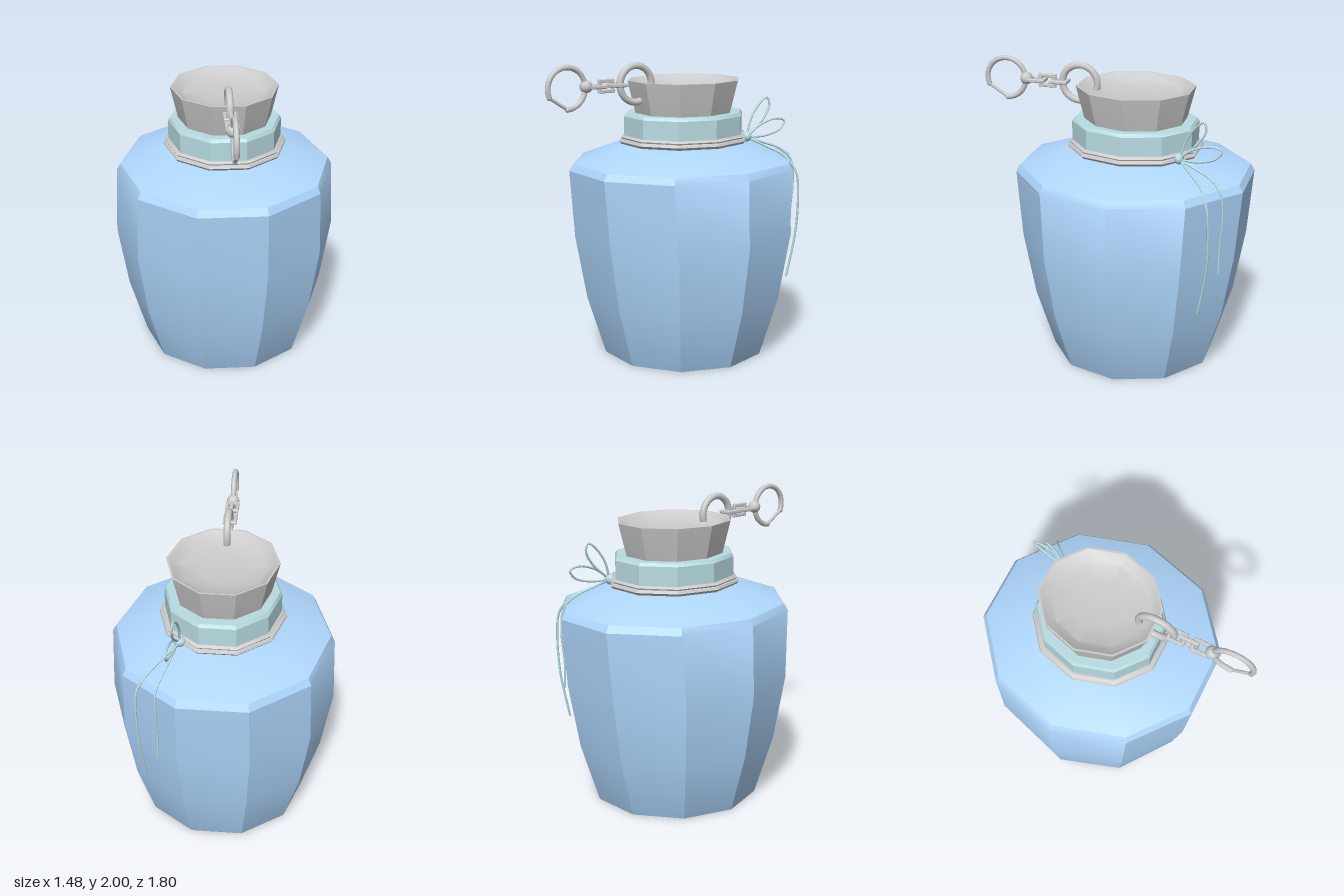
import * as THREE from 'three';
import { toCreasedNormals } from 'three/addons/utils/BufferGeometryUtils.js';

const CENTRE_Z = -0.14;
const mat = (color) => new THREE.MeshStandardMaterial({ color });

export function createModel() {
  const model = new THREE.Group();
  const blue = mat(0xb0d8ff), teal = mat(0xb8dce2), grey = mat(0xcccccc);

  const add = (name, geometry, material, parent = model) => {
    const mesh = new THREE.Mesh(geometry, material);
    mesh.name = name;
    parent.add(mesh);
    return mesh;
  };

  // Ten-sided turned part; each profile point is [radius, height, stretch in z]
  const turned = (name, profile, material) => {
    const pts = profile.map(([r, y]) => new THREE.Vector2(r, y));
    const g = new THREE.LatheGeometry(pts, 10, Math.PI / 2);
    const p = g.attributes.position;
    for (let i = 0; i < p.count; i++) {
      p.setZ(i, p.getZ(i) * (profile[i % profile.length][2] ?? 1.1));
    }
    add(name, toCreasedNormals(g, 0.52), material).position.z = CENTRE_Z;
  };

  turned('jarBody', [
    [0, 0, 1], [0.55, 0, 1], [0.555, 0.01, 1], [0.672, 0.4, 1.01], [0.742, 0.83, 1.02],
    [0.725, 1.28], [0.7, 1.325], [0.38, 1.45], [0.3, 1.45],
  ], blue);
  turned('neckRing', [
    [0.36, 1.44], [0.395, 1.44], [0.412, 1.46], [0.405, 1.475], [0.395, 1.478],
    [0.4, 1.487], [0.385, 1.5], [0.36, 1.5],
  ], grey);
  turned('neckBand', [
    [0.35, 1.48, 1.12], [0.375, 1.48, 1.12], [0.375, 1.625, 1.12],
    [0.362, 1.645, 1.12], [0.29, 1.645, 1.12],
  ], teal);
  turned('stopper', [
    [0.3, 1.62], [0.308, 1.645], [0.358, 1.86], [0.345, 1.86],
    [0.28, 1.815], [0.15, 1.8], [0, 1.795],
  ], grey);

  // Ring, chain and clasp, all on the plane x = 0
  const chain = new THREE.Group();
  chain.name = 'claspChain';
  model.add(chain);

  const ring = add('stopperRing', new THREE.TorusGeometry(0.119, 0.023, 10, 32), grey, chain);
  ring.rotation.y = Math.PI / 2;
  ring.position.set(0, 1.85, 0.24);

  const rect = (Type, w, h) => {
    const s = new Type();
    s.moveTo(-w, -h).lineTo(w, -h).lineTo(w, h).lineTo(-w, h).closePath();
    return s;
  };
  const frame = rect(THREE.Shape, 0.06, 0.045);
  frame.holes.push(rect(THREE.Path, 0.035, 0.022));
  const linkGeo = new THREE.ExtrudeGeometry(frame, {
    depth: 0.014, bevelEnabled: true, bevelSize: 0.004, bevelThickness: 0.005,
    bevelOffset: -0.004, bevelSegments: 1,
  }).translate(0, 0, -0.007);
  linkGeo.rotateY(-Math.PI / 2);
  [0.38, 0.463, 0.535].forEach((z, i) => {
    const link = add('chainLink' + (i + 1), linkGeo, grey, chain);
    link.position.set(0, 1.85, z);
    if (i !== 1) link.rotation.z = Math.PI / 2;
  });

  const ball = add('claspBall', new THREE.SphereGeometry(0.042, 14, 10), grey, chain);
  ball.position.set(0, 1.855, 0.61);

  // Open clasp arc with a straight gate across its gap
  const onClasp = (deg) => {
    const a = THREE.MathUtils.degToRad(deg);
    return new THREE.Vector3(0, 1.85 + 0.133 * Math.sin(a), 0.75 + 0.133 * Math.cos(a));
  };
  const arc = [];
  for (let i = 0; i <= 16; i++) arc.push(onClasp(-22 + i * 290 / 16));
  const tube = (name, pts, radius, segments, material, parent) =>
    add(name, new THREE.TubeGeometry(new THREE.CatmullRomCurve3(pts), segments, radius, 8), material, parent);
  tube('claspArc', arc, 0.018, 48, grey, chain);
  tube('claspGate', [onClasp(-22), onClasp(-92)], 0.011, 1, grey, chain);
  [-22, -92].forEach((deg) => {
    add('claspEnd', new THREE.SphereGeometry(0.018, 10, 8), grey, chain).position.copy(onClasp(deg));
  });

  // Tied string: knot, two loops and two hanging tails
  const bow = new THREE.Group();
  bow.name = 'stringBow';
  model.add(bow);
  const knot = add('knot', new THREE.SphereGeometry(0.036, 10, 8), teal, bow);
  knot.position.set(0.24, 1.475, -0.485);
  knot.scale.set(1.1, 1, 0.9);

  const strands = {
    upperLoop: [
      [0.24, 1.48, -0.49], [0.235, 1.6, -0.53], [0.245, 1.7, -0.6], [0.255, 1.73, -0.645],
      [0.262, 1.68, -0.66], [0.265, 1.58, -0.6], [0.25, 1.49, -0.5],
    ],
    sideLoop: [
      [0.25, 1.48, -0.49], [0.27, 1.55, -0.58], [0.285, 1.585, -0.7], [0.29, 1.565, -0.77],
      [0.29, 1.51, -0.73], [0.275, 1.475, -0.62], [0.25, 1.47, -0.5],
    ],
    longTail: [
      [0.24, 1.47, -0.49], [0.32, 1.42, -0.57], [0.42, 1.35, -0.67], [0.485, 1.25, -0.72],
      [0.495, 1.1, -0.735], [0.485, 0.85, -0.73], [0.47, 0.65, -0.7], [0.46, 0.52, -0.675],
    ],
    shortTail: [
      [0.25, 1.47, -0.49], [0.28, 1.43, -0.6], [0.32, 1.385, -0.71], [0.355, 1.31, -0.78],
      [0.36, 1.15, -0.8], [0.355, 0.95, -0.785], [0.36, 0.77, -0.785],
    ],
  };
  for (const [name, pts] of Object.entries(strands)) {
    tube(name, pts.map((p) => new THREE.Vector3(...p)), 0.0075, 40, teal, bow);
  }

  return model;
}
